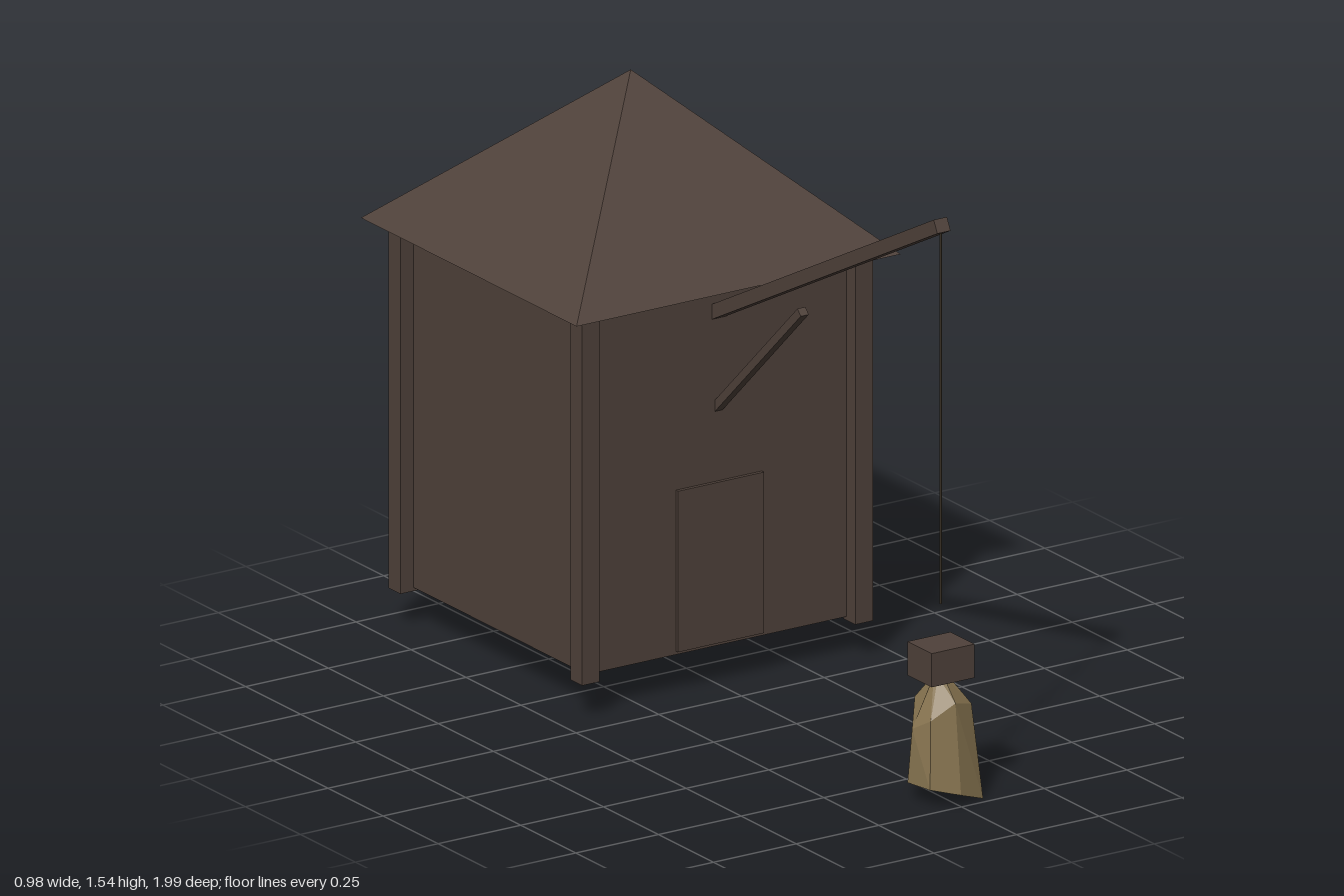
import * as THREE from 'three';

const wood = new THREE.MeshStandardMaterial({ color: 0x4f413a, flatShading: true });
wood.name = 'dark wood';
const cloth = new THREE.MeshStandardMaterial({ color: 0x86734f, flatShading: true });
cloth.name = 'sackcloth';
const cord = new THREE.MeshStandardMaterial({ color: 0x4a3f30 });
cord.name = 'cord';

const CENTRE_Z = -0.503; // middle of the hut

function add(group, name, geometry, material, x = 0, y = 0, z = 0) {
  const mesh = new THREE.Mesh(geometry, material);
  mesh.name = name;
  mesh.position.set(x, y, z);
  group.add(mesh);
  return mesh;
}

// Square timber between two points in the x = 0 plane, given as [y, z]
function timber(group, name, [y0, z0], [y1, z1], width, depth) {
  const length = Math.hypot(y1 - y0, z1 - z0);
  const mesh = add(group, name, new THREE.BoxGeometry(width, depth, length), wood,
    0, (y0 + y1) / 2, (z0 + z1) / 2);
  mesh.rotation.x = -Math.atan2(y1 - y0, z1 - z0);
}

// Faceted skin over rings of points, listed bottom to top, closed at both ends
function skin(rings) {
  const out = [];
  const mean = (ring) => [0, 1, 2].map((k) => ring.reduce((s, p) => s + p[k], 0) / ring.length);
  const n = rings[0].length;
  const last = rings[rings.length - 1];
  const bottom = mean(rings[0]);
  const top = mean(last);
  for (let i = 0; i < n; i++) {
    const j = (i + 1) % n;
    for (let r = 0; r < rings.length - 1; r++) {
      const a = rings[r], b = rings[r + 1];
      out.push(...a[i], ...b[i], ...b[j], ...a[i], ...b[j], ...a[j]);
    }
    out.push(...bottom, ...rings[0][i], ...rings[0][j]);
    out.push(...top, ...last[j], ...last[i]);
  }
  const geometry = new THREE.BufferGeometry();
  geometry.setAttribute('position', new THREE.Float32BufferAttribute(out, 3));
  geometry.computeVertexNormals();
  return geometry;
}

export function createModel() {
  const model = new THREE.Group();
  model.name = 'hoistHut';

  // Hut body with four corner posts
  const hut = new THREE.Group();
  hut.name = 'hut';
  hut.position.z = CENTRE_Z;
  model.add(hut);
  add(hut, 'walls', new THREE.BoxGeometry(0.8, 0.975, 0.8), wood, 0, 0.598, 0);
  for (const sx of [-1, 1]) {
    for (const sz of [-1, 1]) {
      add(hut, 'cornerPost', new THREE.BoxGeometry(0.053, 0.985, 0.053), wood,
        sx * 0.413, 0.593, sz * 0.413);
    }
  }
  add(hut, 'door', new THREE.BoxGeometry(0.26, 0.43, 0.02), wood, 0, 0.335, 0.4);

  // Pyramid roof, closed underneath
  const roof = new THREE.ConeGeometry(0.49 * Math.SQRT2, 0.445, 4);
  roof.rotateY(Math.PI / 4);
  add(hut, 'roof', roof, wood, 0, 1.3075, 0);

  // Crane boom and its brace
  timber(model, 'boom', [0.986, -0.14], [1.533, 0.912], 0.04, 0.036);
  timber(model, 'brace', [0.717, -0.14], [1.115, 0.28], 0.024, 0.022);

  // Rope, block and sack
  add(model, 'rope', new THREE.CylinderGeometry(0.003, 0.003, 1.0, 6), cord, 0, 1.02, 0.905);
  add(model, 'block', new THREE.BoxGeometry(0.13, 0.09, 0.11), wood, 0, 0.371, 0.907);

  const base = [[0.08, 0.005, 0.978], [0, 0.035, 0.998], [-0.075, 0.055, 0.97],
    [-0.09, 0.055, 0.89], [-0.04, 0.06, 0.825], [0.04, 0.055, 0.812], [0.105, 0.055, 0.89]];
  const shoulder = [[0.07, 0.25, 0.94], [0.005, 0.27, 0.965], [-0.06, 0.23, 0.95],
    [-0.083, 0.2, 0.9], [-0.035, 0.26, 0.84], [0.035, 0.26, 0.833], [0.077, 0.25, 0.89]];
  const neck = shoulder.map(([x, , z]) => [x * 0.22, 0.33, 0.902 + (z - 0.902) * 0.22]);
  add(model, 'sack', skin([base, shoulder, neck]), cloth);

  return model;
}
